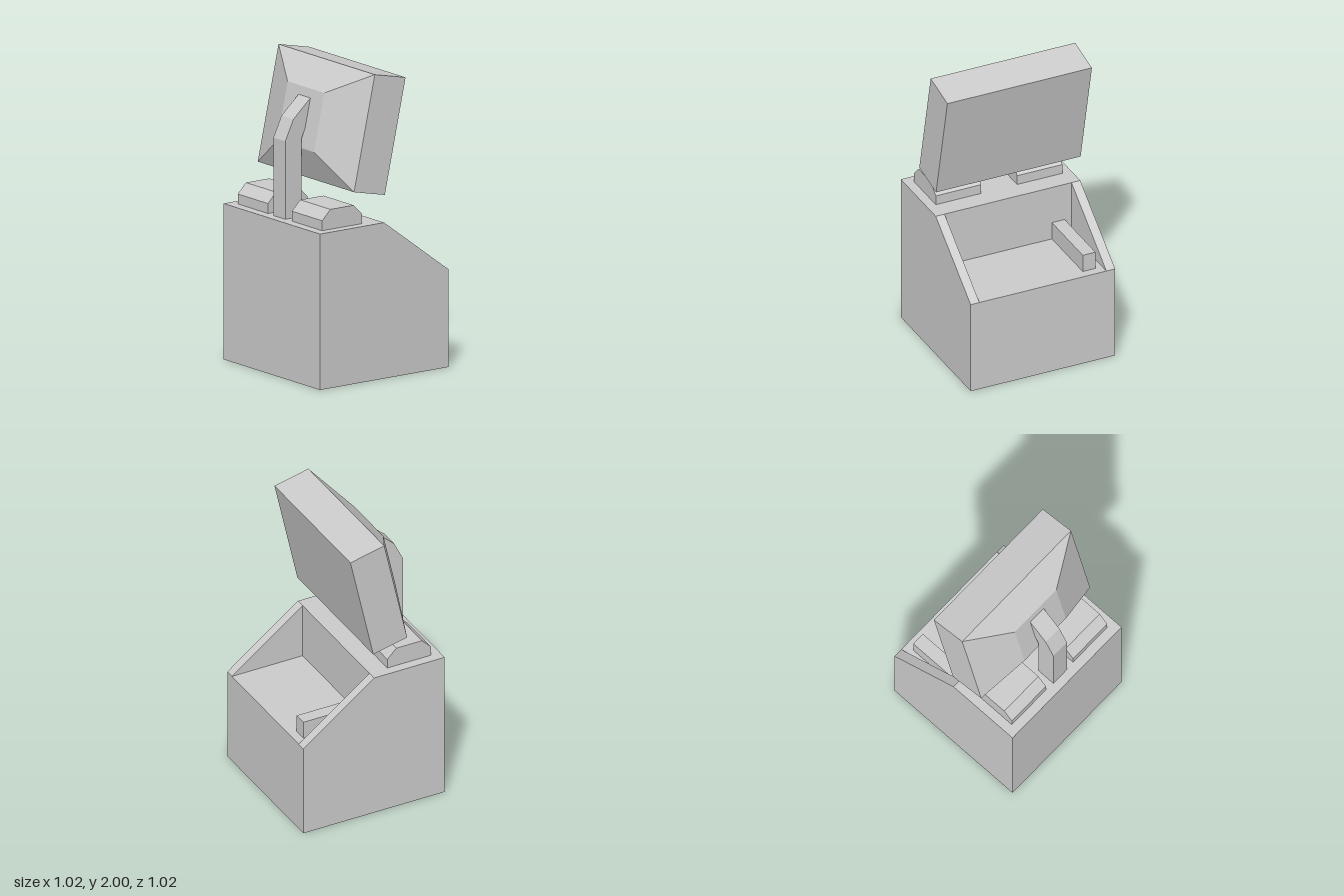
import * as THREE from 'three';

const material = new THREE.MeshStandardMaterial({ color: 0xcccccc, flatShading: true });

function addMesh(parent, name, geometry) {
  const mesh = new THREE.Mesh(geometry, material);
  mesh.name = name;
  parent.add(mesh);
  return mesh;
}

// Side profile of [z, y] points, extruded along x from x0 to x1
function extrudeProfile(points, x0, x1) {
  const shape = new THREE.Shape(points.map(([z, y]) => new THREE.Vector2(-z, y)));
  const geometry = new THREE.ExtrudeGeometry(shape, { depth: x1 - x0, bevelEnabled: false });
  return geometry.translate(0, 0, x0).rotateY(Math.PI / 2);
}

export function createModel() {
  const model = new THREE.Group();
  model.name = 'consoleTerminal';

  // Cabinet: stepped core with a recessed tray, closed by two sloped side panels
  const cabinet = new THREE.Group();
  cabinet.name = 'cabinet';
  model.add(cabinet);
  const half = 0.51, inner = 0.448;
  const core = [[0.51, 0], [0.51, 1.02], [0, 1.02], [0, 0.64], [-0.51, 0.64], [-0.51, 0]];
  const side = [[0.51, 0], [0.51, 1.02], [0, 1.02], [-0.51, 0.64], [-0.51, 0]];
  addMesh(cabinet, 'cabinetCore', extrudeProfile(core, -inner, inner));
  addMesh(cabinet, 'leftSidePanel', extrudeProfile(side, inner, half));
  addMesh(cabinet, 'rightSidePanel', extrudeProfile(side, -half, -inner));

  // Bar lying in the tray
  const bar = addMesh(model, 'trayBar', new THREE.BoxGeometry(0.09, 0.12, 0.45));
  bar.position.set(-0.355, 0.7, -0.225);

  // Chamfered blocks on the top, either side of the stand
  const block = [[0.445, 1.02], [0.445, 1.085], [0.38, 1.15], [0.195, 1.15], [0.13, 1.085], [0.13, 1.02]];
  addMesh(model, 'leftTopBlock', extrudeProfile(block, 0.127, 0.447));
  addMesh(model, 'rightTopBlock', extrudeProfile(block, -0.447, -0.127));

  // Bent stand reaching into the back of the monitor
  const arm = [[0.45, 1.02], [0.45, 1.53], [0.385, 1.665], [0.25, 1.785], [0.2, 1.68], [0.29, 1.6], [0.32, 1.53], [0.32, 1.02]];
  addMesh(model, 'monitorStand', extrudeProfile(arm, -0.063, 0.063));

  // Monitor: box whose rear section tapers to a smaller back plate
  const depth = 0.376;
  const geometry = new THREE.BoxGeometry(1.02, 0.763, depth, 1, 1, 2).translate(0, 0, depth / 2);
  const position = geometry.attributes.position;
  for (let i = 0; i < position.count; i++) {
    const z = position.getZ(i);
    if (z > depth * 0.9) {
      position.setX(i, Math.sign(position.getX(i)) * 0.194);
      position.setY(i, Math.sign(position.getY(i)) * 0.192);
    } else if (z > depth * 0.4) {
      position.setZ(i, 0.25);
    }
  }
  geometry.computeVertexNormals();
  const monitor = addMesh(model, 'monitor', geometry);
  monitor.position.set(0, 1.5725, -0.0875);
  monitor.rotation.x = -0.218;

  return model;
}
